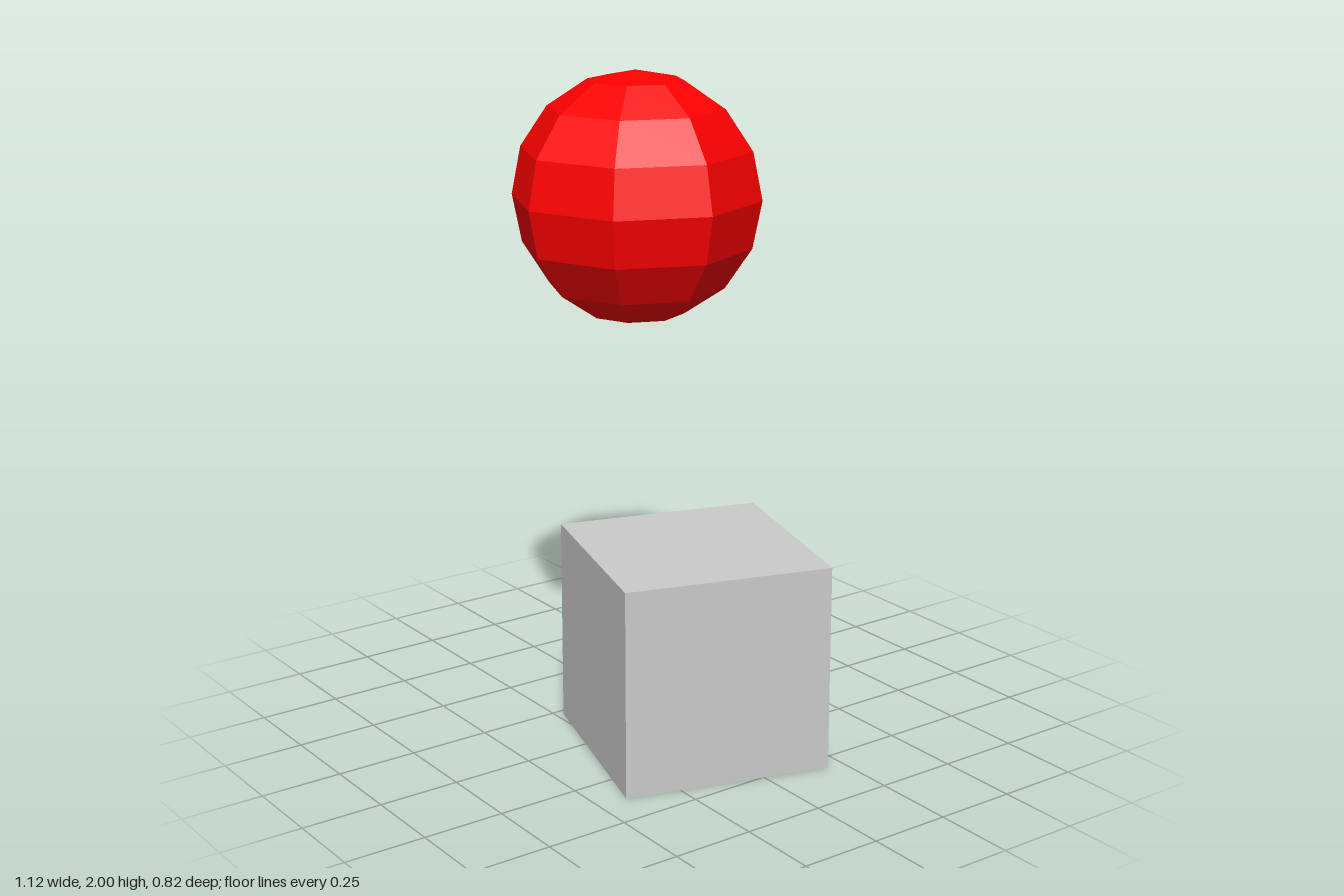
import * as THREE from 'three';

export function createModel() {
  const model = new THREE.Group();

  // Cube on the ground, turned slightly about its upright axis
  const side = 0.63;
  const cube = new THREE.Mesh(
    new THREE.BoxGeometry(side, side, side),
    new THREE.MeshStandardMaterial({ color: 0xcccccc })
  );
  cube.name = 'cube';
  cube.position.set(0.168, side / 2, 0.016);
  cube.rotation.y = -0.293;
  model.add(cube);

  // Faceted ball floating above
  const radius = 0.38;
  const ball = new THREE.Mesh(
    new THREE.SphereGeometry(radius, 8, 8),
    new THREE.MeshStandardMaterial({ color: 0xff0000, flatShading: true })
  );
  ball.name = 'ball';
  ball.position.set(-0.184, 2 - radius, -0.03);
  model.add(ball);

  return model;
}
